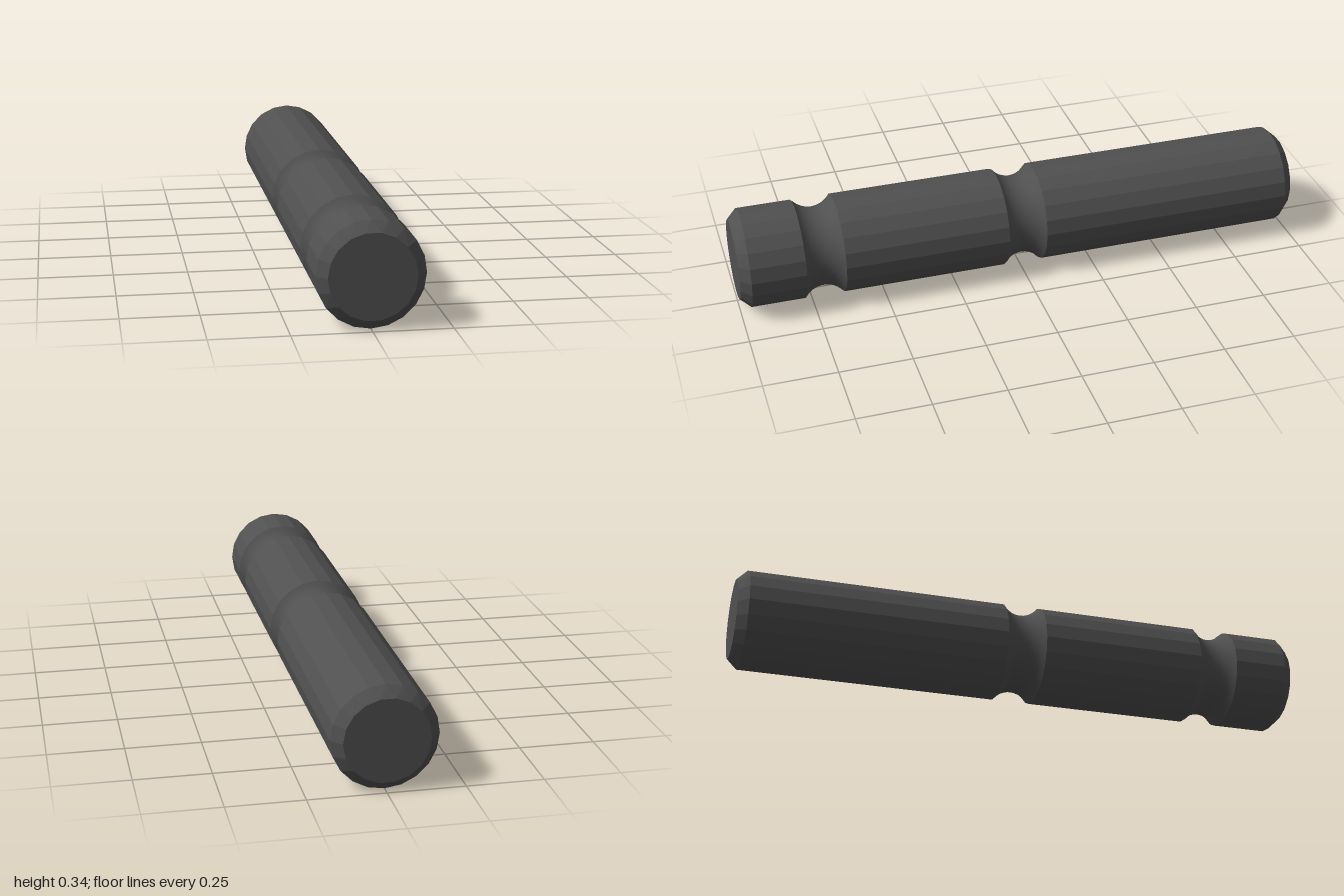
import * as THREE from 'three';
import { ConvexGeometry } from 'three/addons/geometries/ConvexGeometry.js';

const R = 0.171, SIDES = 20, CAP_R = 0.138, CAP_SIDES = 18;
const END = 1, SHOULDER = 0.965;
const GROOVES = [0, 0.71], HALF = 0.068, DEPTH = 0.034;

const flat = new THREE.MeshStandardMaterial({ color: 0x505050, flatShading: true });
const smooth = new THREE.MeshStandardMaterial({ color: 0x505050 });

// Ring of points around the pin's long axis
function ring(radius, sides, z, offset = 0) {
  return Array.from({ length: sides }, (_, i) => {
    const a = offset + (i / sides) * Math.PI * 2;
    return new THREE.Vector3(radius * Math.sin(a), radius * Math.cos(a), z);
  });
}

export function createModel() {
  const pin = new THREE.Group();
  pin.name = 'groovedPin';
  pin.position.y = R;
  const add = (name, geometry, material) => {
    const mesh = new THREE.Mesh(geometry, material);
    mesh.name = name;
    pin.add(mesh);
  };

  // Straight faceted shaft sections between the grooves
  const section = (name, z0, z1) => {
    const g = new THREE.CylinderGeometry(R, R, z1 - z0, SIDES, 1, true);
    g.rotateX(Math.PI / 2).translate(0, 0, (z0 + z1) / 2);
    add(name, g, flat);
  };
  section('rearShaft', -SHOULDER, GROOVES[0] - HALF);
  section('middleShaft', GROOVES[0] + HALF, GROOVES[1] - HALF);
  section('frontShaft', GROOVES[1] + HALF, SHOULDER);

  // Concave grooves, with their rims trimmed to the faceted shaft
  const arcR = (HALF * HALF + DEPTH * DEPTH) / (2 * DEPTH);
  const sweep = Math.asin(HALF / arcR);
  const step = (Math.PI * 2) / SIDES;
  GROOVES.forEach((z, n) => {
    const profile = Array.from({ length: 13 }, (_, i) => {
      const a = sweep * (i / 6 - 1);
      return new THREE.Vector2(R - DEPTH + arcR * (1 - Math.cos(a)), arcR * Math.sin(a));
    });
    const g = new THREE.LatheGeometry(profile, SIDES * 2);
    const p = g.attributes.position;
    for (let i = 0; i < p.count; i++) {
      const a = Math.atan2(p.getX(i), p.getZ(i));
      const off = a - Math.round(a / step) * step;
      const limit = (R * Math.cos(step / 2)) / Math.cos(step / 2 - Math.abs(off));
      const k = Math.min(1, limit / Math.hypot(p.getX(i), p.getZ(i)));
      p.setX(i, p.getX(i) * k);
      p.setZ(i, p.getZ(i) * k);
    }
    g.rotateX(Math.PI / 2).translate(0, 0, z);
    add(n ? 'frontGroove' : 'middleGroove', g, smooth);
  });

  // Chamfered ends
  for (const s of [-1, 1]) {
    const points = [
      ...ring(R, SIDES, s * SHOULDER),
      ...ring(CAP_R, CAP_SIDES, s * END, Math.PI / CAP_SIDES),
    ];
    add(s > 0 ? 'frontChamferedEnd' : 'rearChamferedEnd', new ConvexGeometry(points), flat);
  }
  return pin;
}
